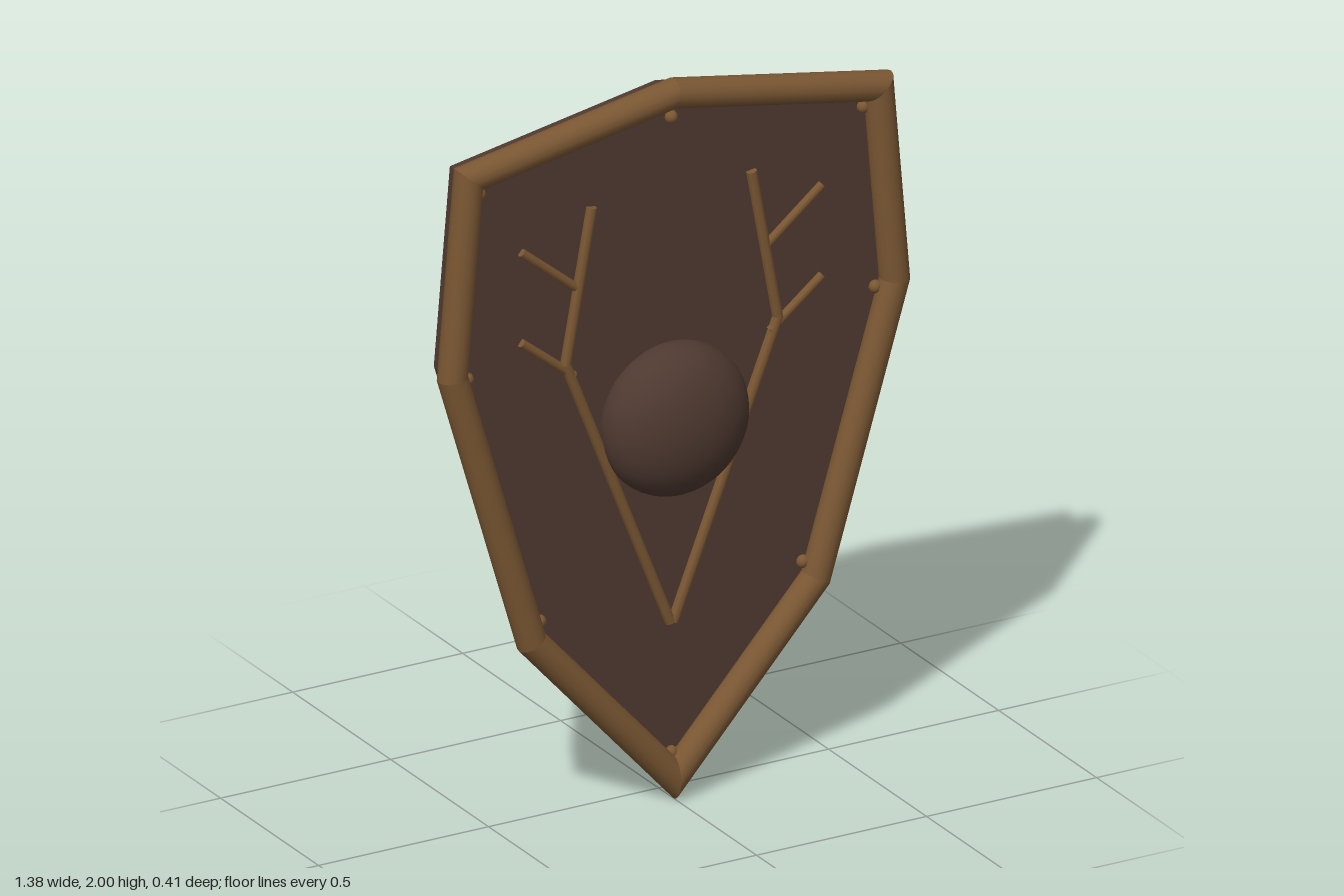
import * as THREE from 'three';
import { mergeGeometries } from 'three/addons/utils/BufferGeometryUtils.js';

const V = (x, y, z) => new THREE.Vector3(x, y, z);

// Round rod along a path of straight pieces, mitred at every corner
function mitredRod(points, radius, sides, closed = false) {
  const n = points.length;
  const count = closed ? n : n - 1;
  const dirs = [];
  for (let i = 0; i < count; i++) {
    dirs.push(points[(i + 1) % n].clone().sub(points[i]).normalize());
  }
  const pieces = dirs.map((dir, i) => {
    const before = closed ? dirs[(i + count - 1) % count] : dirs[i - 1] || dir;
    const after = closed ? dirs[(i + 1) % count] : dirs[i + 1] || dir;
    const startCut = dir.clone().add(before).normalize();
    const endCut = dir.clone().add(after).normalize();
    const geo = new THREE.CylinderGeometry(radius, radius, 1, sides, 1, closed);
    const turn = new THREE.Quaternion().setFromUnitVectors(V(0, 1, 0), dir);
    const flat = geo.attributes.position.clone();
    geo.applyQuaternion(turn);
    const pos = geo.attributes.position;
    for (let k = 0; k < pos.count; k++) {
      const atEnd = flat.getY(k) > 0;
      const q = V(flat.getX(k), 0, flat.getZ(k)).applyQuaternion(turn);
      const cut = atEnd ? endCut : startCut;
      q.addScaledVector(dir, -q.dot(cut) / dir.dot(cut));
      q.add(points[atEnd ? (i + 1) % n : i]);
      pos.setXYZ(k, q.x, q.y, q.z);
    }
    return geo;
  });
  return mergeGeometries(pieces);
}

export function createModel() {
  const model = new THREE.Group();
  const darkWood = new THREE.MeshStandardMaterial({ name: 'dark wood', color: 0x4e3930 });
  const bronze = new THREE.MeshStandardMaterial({ name: 'bronze brown', color: 0x7a5733 });

  const add = (name, geometry, material) => {
    const mesh = new THREE.Mesh(geometry, material);
    mesh.name = name;
    model.add(mesh);
    return mesh;
  };

  // Shield outline, clockwise from the top point
  const half = [[0.603, 1.851], [0.65, 1.308], [0.418, 0.528]];
  const outline = [
    [0, 1.96], ...half, [0, 0.063],
    ...half.map(([x, y]) => [-x, y]).reverse(),
  ];

  // Board with a small bevel
  const shape = new THREE.Shape(outline.map(([x, y]) => new THREE.Vector2(x, y)));
  const board = new THREE.ExtrudeGeometry(shape, {
    depth: 0.06, bevelEnabled: true, bevelThickness: 0.01,
    bevelSize: 0.01, bevelOffset: -0.006, bevelSegments: 2,
  });
  board.translate(0, 0, -0.01);
  add('board', board, darkWood);

  // Rounded rim
  add('rim', mitredRod(outline.map(([x, y]) => V(x, y, 0.076)), 0.04, 16, true), bronze);

  // Central boss, flattened front to back
  const boss = add('boss', new THREE.SphereGeometry(0.209, 32, 24), darkWood);
  boss.scale.z = 0.6;
  boss.position.set(0, 1.06, 0.08);

  // Branching antler ornaments
  for (const [side, s] of [['left', 1], ['right', -1]]) {
    const path = (...pts) => pts.map(([x, y]) => V(s * x, y, 0.066));
    add(side + 'AntlerBeam', mitredRod(path([0.004, 0.49], [0.312, 1.27], [0.235, 1.69]), 0.015, 8), bronze);
    add(side + 'AntlerLowerTine', mitredRod(path([0.288, 1.235], [0.442, 1.357]), 0.012, 8), bronze);
    add(side + 'AntlerUpperTine', mitredRod(path([0.278, 1.475], [0.442, 1.608]), 0.012, 8), bronze);
  }

  // Rivets inside the rim
  const rivetHalf = [[0.565, 1.797], [0.6, 1.29], [0.387, 0.573]];
  const rivets = [[0, 1.89], [0, 0.127], ...rivetHalf, ...rivetHalf.map(([x, y]) => [-x, y])];
  const rivetGeo = new THREE.SphereGeometry(0.018, 12, 8);
  for (const [x, y] of rivets) {
    add('rivet', rivetGeo, bronze).position.set(x, y, 0.064);
  }

  // Bent grip on the back
  const grip = [V(0, 1.288, -0.008), V(0, 1.21, -0.163), V(0, 0.907, -0.163), V(0, 0.829, -0.008)];
  add('handle', mitredRod(grip, 0.042, 14), darkWood);

  return model;
}
